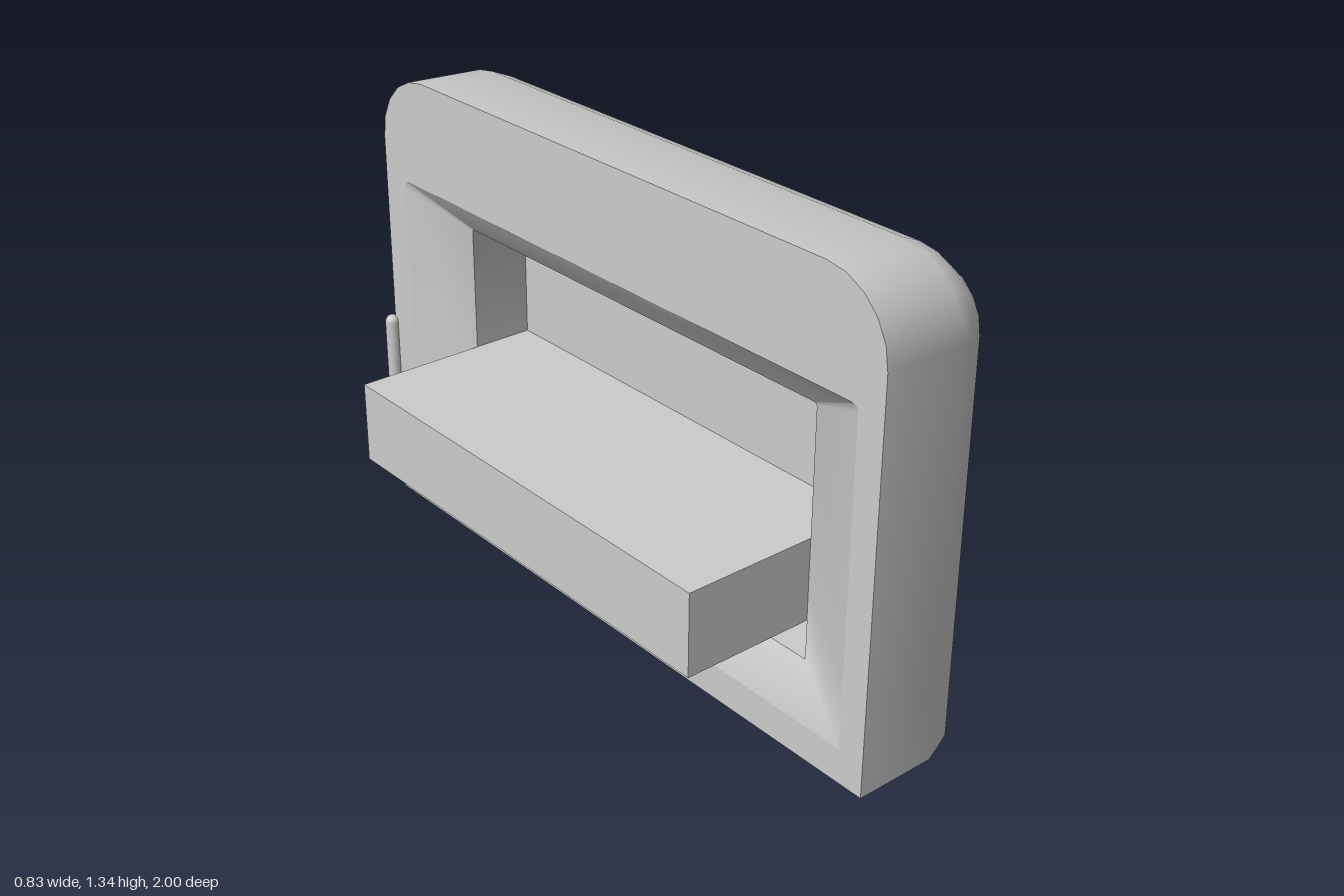
import * as THREE from 'three';
import { toCreasedNormals } from 'three/addons/utils/BufferGeometryUtils.js';

// Upright outline at a given x: flat bottom, rounded top corners.
function ring(x, zc, half, y0, y1, r) {
  const side = [[half, y0], [half, y0 + 0.2]];
  const steps = 5;
  for (let i = 0; i <= steps; i++) {
    const a = (i / steps) * Math.PI / 2;
    side.push([half - r + r * Math.cos(a), y1 - r + r * Math.sin(a)]);
  }
  const other = side.map(([z, y]) => [-z, y]).reverse();
  return side.concat(other).map(([z, y]) => [x, y, zc + z]);
}

// Skin a list of rings; optionally close the last or first ring with strips.
function loft(rings, cap) {
  const n = rings[0].length;
  const index = [];
  for (let k = 0; k < rings.length - 1; k++) {
    for (let i = 0; i < n; i++) {
      const j = (i + 1) % n;
      const a = k * n + i, b = k * n + j, c = b + n, d = a + n;
      index.push(a, d, b, b, d, c);
    }
  }
  if (cap) {
    const o = cap === 'end' ? (rings.length - 1) * n : 0;
    for (let i = 0; i < n / 2 - 1; i++) {
      const a = o + i, b = o + i + 1, c = o + n - 2 - i, d = o + n - 1 - i;
      if (cap === 'end') index.push(a, d, b, b, d, c);
      else index.push(a, b, d, b, c, d);
    }
  }
  const geo = new THREE.BufferGeometry();
  geo.setAttribute('position', new THREE.Float32BufferAttribute(rings.flat(2), 3));
  geo.setIndex(index);
  return toCreasedNormals(geo, 1.0);
}

export function createModel() {
  const group = new THREE.Group();
  const grey = new THREE.MeshStandardMaterial({ color: 0xcccccc });
  grey.name = 'light grey';

  const add = (name, geo) => {
    const mesh = new THREE.Mesh(geo, grey);
    mesh.name = name;
    group.add(mesh);
    return mesh;
  };

  // Door shell: [x, side inset, top inset, corner radius]
  const outer = [
    [-0.12, 0, 0, 0.2],
    [0.12, 0, 0.011, 0.2],
    [0.18, 0.024, 0.036, 0.18],
    [0.225, 0.044, 0.08, 0.15],
    [0.248, 0.095, 0.123, 0.11],
    [0.264, 0.14, 0.19, 0.06],
  ].map(([x, s, t, r]) => ring(x, 0.013, 0.987 - s, 0, 1.338 - t, r));
  add('doorShell', loft(outer, 'end'));

  // Inner side: flat rim, sloped surround and a deep pocket
  const opening = ring(-0.12, 0.02, 0.9, 0.1, 1.03, 0.02);
  const pocketMouth = ring(-0.03, 0.01, 0.693, 0.205, 0.92, 0.01);
  const pocketBack = ring(0.15, 0.01, 0.693, 0.205, 0.92, 0.01);
  add('innerRim', loft([opening, outer[0]]));
  add('pocketSurround', loft([pocketMouth, opening]));
  add('pocket', loft([pocketBack, pocketMouth], 'start'));

  // Shelf block reaching from the pocket's back out past the rim
  const shelf = add('shelf', new THREE.BoxGeometry(0.565, 0.235, 1.385));
  shelf.position.set(-0.1325, 0.437, 0.01);

  // Hinge pin on the back edge
  const pin = add('hingePin', new THREE.CapsuleGeometry(0.021, 0.37, 4, 12));
  pin.position.set(-0.128, 0.375, -0.979);

  // Handle: bent strip drawn in plan, then tapered toward its free end
  const plan = new THREE.Shape();
  plan.moveTo(0.24, -0.785);
  plan.lineTo(0.375, -0.785);
  plan.quadraticCurveTo(0.412, -0.78, 0.413, -0.735);
  plan.lineTo(0.413, -0.145);
  plan.lineTo(0.394, -0.145);
  plan.lineTo(0.392, -0.72);
  plan.quadraticCurveTo(0.392, -0.75, 0.37, -0.755);
  plan.lineTo(0.24, -0.755);
  const handleGeo = new THREE.ExtrudeGeometry(plan, { depth: 1, bevelEnabled: false, curveSegments: 5 });
  handleGeo.rotateX(-Math.PI / 2);
  const p = handleGeo.attributes.position;
  for (let i = 0; i < p.count; i++) {
    const t = THREE.MathUtils.clamp((0.72 - p.getZ(i)) / 0.575, 0, 1);
    const low = 0.22 + 0.04 * t;
    const high = 0.403 - 0.038 * t;
    p.setY(i, low + (high - low) * p.getY(i));
  }
  add('handle', toCreasedNormals(handleGeo, 0.8));

  return group;
}
